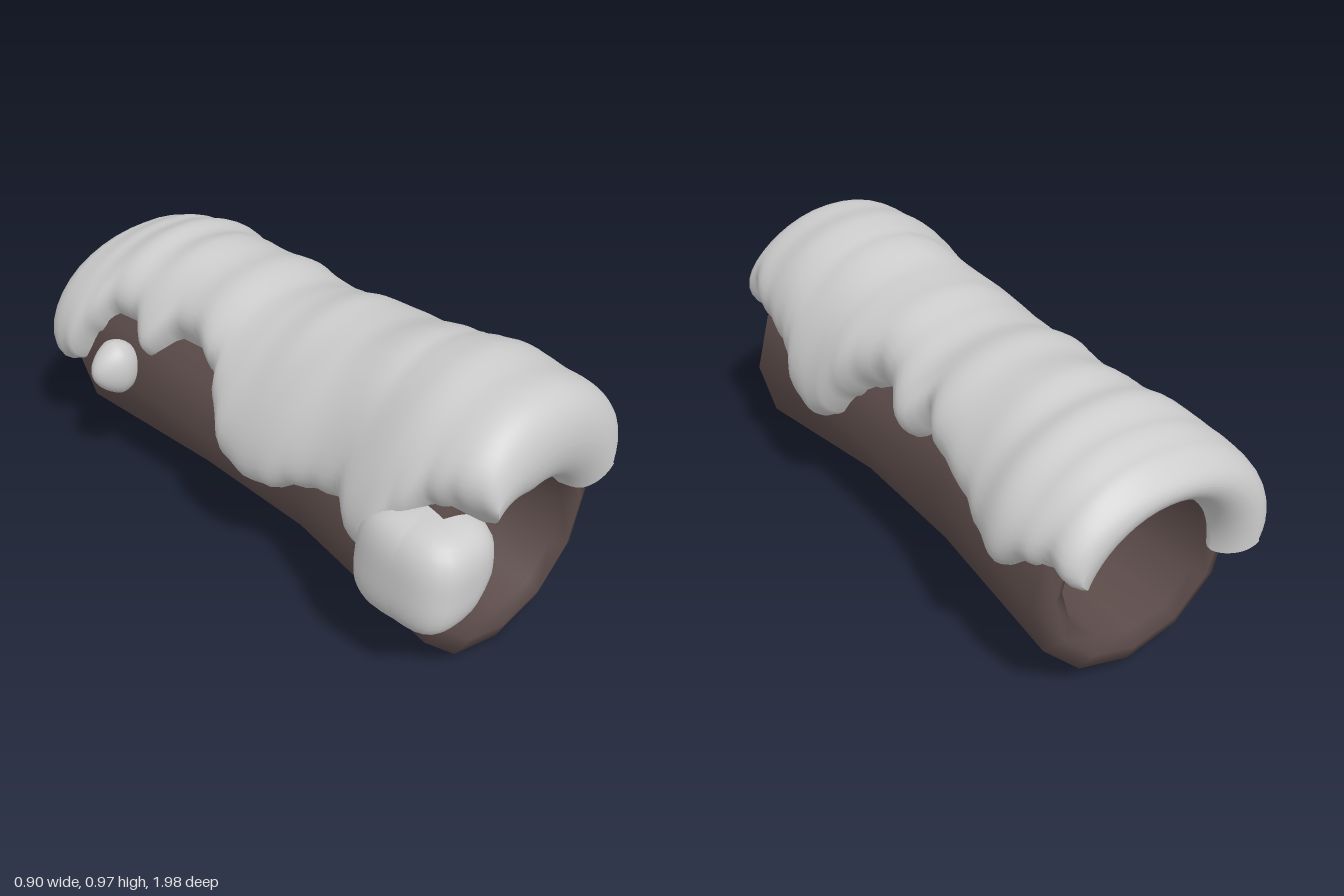
import * as THREE from 'three';

const barkMat = new THREE.MeshStandardMaterial({ color: 0x5c4c4a });
const snowMat = new THREE.MeshStandardMaterial({ color: 0xcccccc });

// Skin a list of closed rings (arrays of [x, y, z]); loop joins last ring to first.
function skin(rings, loop) {
  const n = rings[0].length, m = rings.length, index = [];
  for (let j = 0; j < (loop ? m : m - 1); j++) {
    for (let i = 0; i < n; i++) {
      const k = ((j + 1) % m) * n, i2 = (i + 1) % n;
      const a = j * n + i, b = j * n + i2, c = k + i, d = k + i2;
      index.push(a, c, b, b, c, d);
    }
  }
  const g = new THREE.BufferGeometry();
  g.setAttribute('position', new THREE.Float32BufferAttribute(rings.flat(2), 3));
  g.setIndex(index);
  g.computeVertexNormals();
  return g;
}

// Smooth lookup in a flat list of z, value pairs (z descending).
function sample(list, z) {
  if (z >= list[0]) return list[1];
  for (let i = 0; i < list.length - 2; i += 2) {
    if (z >= list[i + 2]) {
      const t = (list[i] - z) / (list[i] - list[i + 2]);
      return THREE.MathUtils.lerp(list[i + 1], list[i + 3], t * t * (3 - 2 * t));
    }
  }
  return list[list.length - 1];
}

// Hollow log: rings of z, radius, centre x, centre y, out along the bark and back through the bore.
function logGeometry() {
  const profile = [
    [0.85, 0.395, 0.015, 0.396], [0.24, 0.32, 0.015, 0.4], [-0.24, 0.32, 0.015, 0.4],
    [-0.85, 0.375, 0.025, 0.425], [-0.88, 0.31, 0.025, 0.425], [-0.85, 0.265, 0.025, 0.425],
    [-0.24, 0.215, 0.015, 0.4], [0.24, 0.215, 0.015, 0.4],
    [0.85, 0.27, 0.015, 0.395], [0.88, 0.325, 0.015, 0.395],
  ];
  const rings = profile.map(([z, r, cx, cy]) => Array.from({ length: 12 }, (_, i) => {
    const a = -Math.PI / 2 + i * Math.PI / 6;
    return [cx + r * Math.cos(a), cy + r * Math.sin(a), z];
  }));
  return skin(rings, true);
}

// Snow ridge height and the heights of its dripping edges along the log.
const top = [0.95, 0.95, 0.8, 0.955, 0.67, 0.97, 0.5, 0.95, 0.3, 0.91, 0.15, 0.905, 0, 0.875, -0.1, 0.865,
  -0.25, 0.89, -0.35, 0.88, -0.5, 0.89, -0.6, 0.87, -0.68, 0.885, -0.8, 0.85, -0.9, 0.82, -0.98, 0.8];
const rightEdge = [0.95, 0.62, 0.88, 0.67, 0.75, 0.63, 0.65, 0.58, 0.57, 0.53, 0.5, 0.42, 0.42, 0.38, 0.35, 0.42,
  0.28, 0.54, 0.2, 0.62, 0.12, 0.66, 0.05, 0.65, -0.1, 0.58, -0.2, 0.66, -0.3, 0.6, -0.5, 0.56,
  -0.6, 0.51, -0.69, 0.47, -0.8, 0.55, -0.88, 0.57, -0.96, 0.54];
const leftEdge = [0.95, 0.73, 0.88, 0.72, 0.8, 0.7, 0.72, 0.6, 0.65, 0.42, 0.58, 0.43, 0.5, 0.53, 0.4, 0.5,
  0.3, 0.46, 0.2, 0.4, 0.1, 0.38, 0, 0.41, -0.08, 0.53, -0.15, 0.63, -0.3, 0.68, -0.4, 0.68,
  -0.5, 0.58, -0.6, 0.67, -0.7, 0.67, -0.76, 0.58, -0.83, 0.42, -0.9, 0.36, -0.97, 0.37];
const logRadius = [0.85, 0.39, 0.24, 0.32, -0.24, 0.32, -0.85, 0.375];

function snowGeometry() {
  const { lerp, clamp, smoothstep } = THREE.MathUtils;
  const cx = 0.02, cy = 0.405, stations = 120, half = 30, rings = [];
  for (let k = 0; k <= stations; k++) {
    const z = 0.99 * Math.cos(Math.PI * k / stations);
    const R = sample(logRadius, z);
    const edge = list => Math.asin(clamp((sample(list, z) - cy) / (R + 0.06), -1, 1));
    let a0 = edge(rightEdge), a1 = Math.PI - edge(leftEdge);
    // rounded ends that hang over the rims of the log
    const u = Math.max(0, (Math.abs(z) - 0.83) / 0.16);
    const s = Math.sqrt(Math.max(0, 1 - u ** 2.7));
    const mid = (a0 + a1) / 2, squeeze = 0.9 + 0.1 * s;
    a0 = mid + (a0 - mid) * squeeze;
    a1 = mid + (a1 - mid) * squeeze;
    const hang = smoothstep(Math.abs(z), 0.82, 0.88);
    const side = lerp(0.425, R + 0.07, smoothstep(Math.abs(z), 0.2, 0.6));
    const ring = [];
    for (let i = 0; i < half * 2; i++) {
      const outer = i < half;
      // points bunch up toward the rounded edges
      const t = -Math.cos(Math.PI * (outer ? i : half * 2 - 1 - i) / (half - 1));
      const a = a0 + (a1 - a0) * (t + 1) / 2;
      const c = Math.cos(a);
      // the ridge falls off faster on the model's right shoulder
      const w = Math.max(0, Math.sin(a)) ** (c < 0 ? 4 : 2);
      const rIn = lerp(R - 0.04, z > 0 ? 0.22 + 0.06 * smoothstep(-c, 0.15, 0.6) : 0.25, hang);
      // drifted ridges across the outer face
      const ripple = 0.004 * Math.sin(20 * z + 5 * c * c) + 0.006 * Math.sin(13 * z + 5 * a);
      const bulge = c > 0 ? 0.018 * c : 0.012 * -c;
      const rOut = lerp(side, sample(top, z) - cy, w) + ripple * (1 - 0.6 * w) + bulge;
      const full = outer ? rIn + (rOut - rIn) * Math.sqrt(Math.max(0, 1 - t ** 10)) : rIn;
      const core = (rIn + rOut) / 2;
      const r = core + (full - core) * s;
      ring.push([cx + r * c, cy + r * Math.sin(a), z]);
    }
    rings.push(ring);
  }
  return skin(rings, false);
}

// Rounded lump: a sphere pushed toward a box, then bent by a rule.
function lump(rx, ry, rz, power, bend) {
  const g = new THREE.SphereGeometry(1, 32, 24), p = g.attributes.position;
  const v = new THREE.Vector3(), e = 2 / power;
  for (let i = 0; i < p.count; i++) {
    v.fromBufferAttribute(p, i);
    v.multiplyScalar((Math.abs(v.x) ** e + Math.abs(v.y) ** e + Math.abs(v.z) ** e) ** (-1 / e));
    bend(v);
    p.setXYZ(i, v.x * rx, v.y * ry, v.z * rz);
  }
  g.computeVertexNormals();
  return g;
}

export function createModel() {
  const group = new THREE.Group();
  const add = (name, geometry, material, x = 0, y = 0, z = 0) => {
    const mesh = new THREE.Mesh(geometry, material);
    mesh.name = name;
    mesh.position.set(x, y, z);
    group.add(mesh);
  };
  add('hollowLog', logGeometry(), barkMat);
  add('snowCover', snowGeometry(), snowMat);
  // lump on the front rim: narrower toward the foot and hugging the bark toward the back
  add('frontSnowLump', lump(0.15, 0.17, 0.18, 0.65, v => {
    const back = Math.max(0, -v.z);
    v.x = (v.x + 1) * (1 - 0.6 * back) * (1 - 0.25 * Math.max(0, -v.y)) - 1 + 0.1 * v.y;
  }), snowMat, -0.29, 0.47, 0.805);
  // small patch on the bark, pointed outward
  add('sideSnowPatch', lump(0.09, 0.1, 0.075, 0.95, v => {
    v.y *= 1 + 0.3 * Math.min(0, v.x);
    v.z *= 1 + 0.3 * Math.min(0, v.x);
  }), snowMat, -0.36, 0.49, -0.615);
  return group;
}
